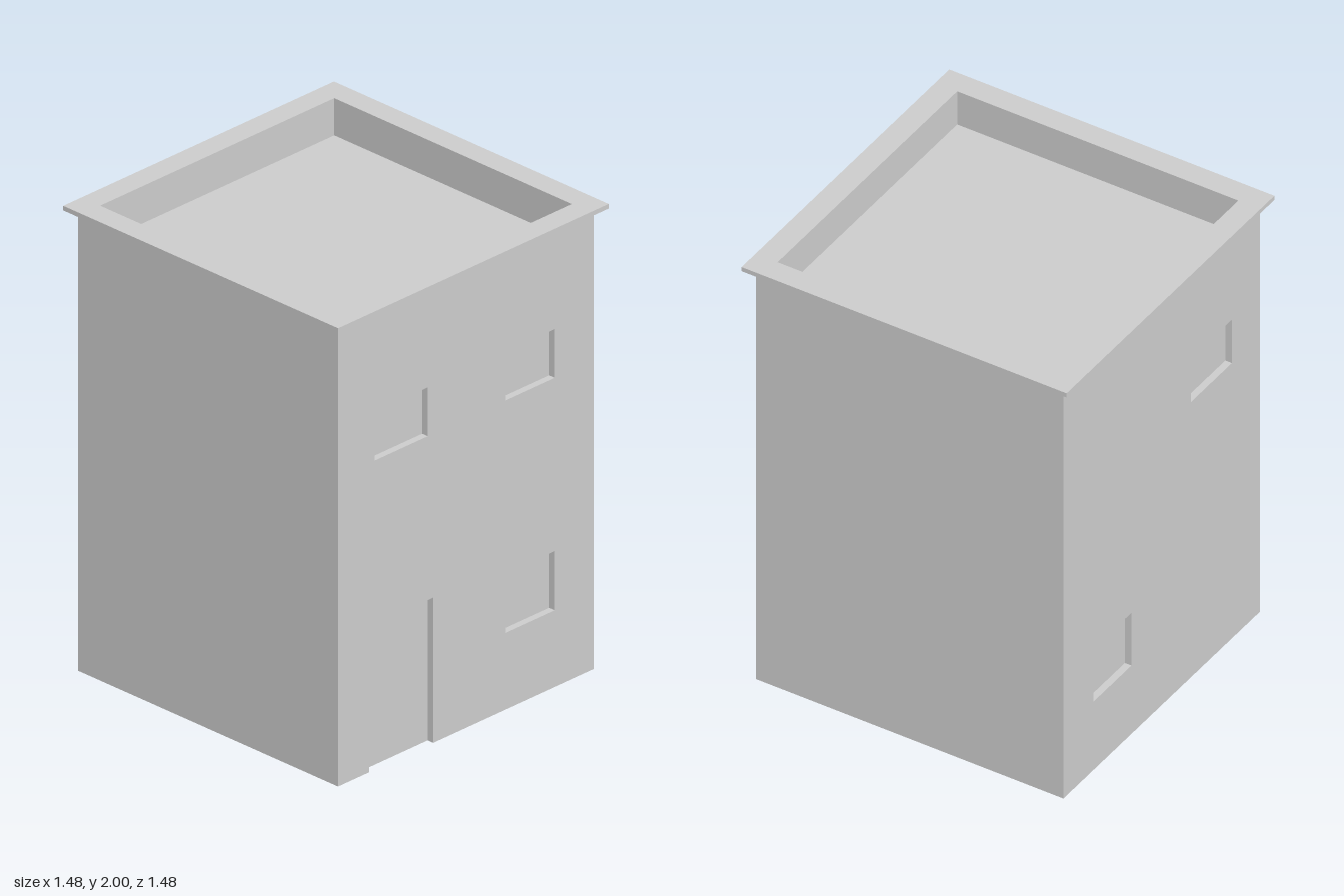
import * as THREE from 'three';

const HALF = 0.7;        // half width of the walls
const WALL_TOP = 1.98;
const REVEAL = 0.03;     // depth of door and window recesses
const RIM_IN = 0.64, RIM_OUT = 0.74, ROOF_Y = 1.84;

const material = new THREE.MeshStandardMaterial({ color: 0xcccccc, side: THREE.DoubleSide, flatShading: true });

function add(parent, name, geometry) {
  const mesh = new THREE.Mesh(geometry, material);
  mesh.name = name;
  parent.add(mesh);
  return mesh;
}

function plane(parent, name, w, h, pos, rx = 0, ry = 0) {
  const mesh = add(parent, name, new THREE.PlaneGeometry(w, h));
  mesh.position.set(...pos);
  mesh.rotation.set(rx, ry, 0);
  return mesh;
}

function rectangle(Type, x0, y0, x1, y1) {
  return new Type([[x0, y0], [x1, y0], [x1, y1], [x0, y1]].map(p => new THREE.Vector2(...p)));
}

// Recessed panel with its reveals; a door has no sill
function recess(parent, { name, u0, u1, y0, y1 }) {
  const g = new THREE.Group();
  g.name = name;
  const w = u1 - u0, h = y1 - y0, u = (u0 + u1) / 2, y = (y0 + y1) / 2, z = -REVEAL / 2;
  plane(g, 'panel', w, h, [u, y, -REVEAL]);
  plane(g, 'jamb', REVEAL, h, [u0, y, z], 0, Math.PI / 2);
  plane(g, 'jamb', REVEAL, h, [u1, y, z], 0, -Math.PI / 2);
  plane(g, 'lintel', w, REVEAL, [u, y1, z], Math.PI / 2);
  if (y0 > 0) plane(g, 'sill', w, REVEAL, [u, y0, z], -Math.PI / 2);
  parent.add(g);
}

// Wall facing local +z, cut by its openings
function wall(parent, name, angle, openings = []) {
  const g = new THREE.Group();
  g.name = name;
  const outline = [[-HALF, 0]];
  for (const o of openings.filter(o => o.y0 === 0)) {
    outline.push([o.u0, 0], [o.u0, o.y1], [o.u1, o.y1], [o.u1, 0]);
  }
  outline.push([HALF, 0], [HALF, WALL_TOP], [-HALF, WALL_TOP]);
  const shape = new THREE.Shape(outline.map(p => new THREE.Vector2(...p)));
  for (const o of openings) {
    if (o.y0 > 0) shape.holes.push(rectangle(THREE.Path, o.u0, o.y0, o.u1, o.y1));
    recess(g, o);
  }
  add(g, name + 'Surface', new THREE.ShapeGeometry(shape).translate(0, 0, HALF));
  for (const child of g.children) if (child.isGroup) child.position.z = HALF;
  g.rotation.y = angle;
  parent.add(g);
}

export function createModel() {
  const model = new THREE.Group();
  model.name = 'house';

  // Walls, open at the bottom
  const door = { name: 'door', u0: -0.53, u1: -0.18, y0: 0, y1: 0.625 };
  const upper = (u0, u1) => ({ name: 'upperWindow', u0, u1, y0: 1.33, y1: 1.54 });
  const lower = (u0, u1) => ({ name: 'lowerWindow', u0, u1, y0: 0.33, y1: 0.585 });
  wall(model, 'frontWall', 0);
  wall(model, 'backWall', Math.PI);
  wall(model, 'leftWall', Math.PI / 2,
    [door, upper(-0.5, -0.21), upper(0.215, 0.485), lower(0.215, 0.485)]);
  wall(model, 'rightWall', -Math.PI / 2, [upper(0.21, 0.5), lower(-0.485, -0.215)]);

  // Overhanging rim around the roof
  const rimShape = rectangle(THREE.Shape, -RIM_OUT, -RIM_OUT, RIM_OUT, RIM_OUT);
  rimShape.holes.push(rectangle(THREE.Path, -RIM_IN, -RIM_IN, RIM_IN, RIM_IN));
  const rim = new THREE.ExtrudeGeometry(rimShape, { depth: 2 - WALL_TOP, bevelEnabled: false });
  add(model, 'roofRim', rim.rotateX(-Math.PI / 2).translate(0, WALL_TOP, 0));

  // Sunken flat roof and the inner faces of its parapet
  plane(model, 'roofFloor', 2 * RIM_IN, 2 * RIM_IN, [0, ROOF_Y, 0], -Math.PI / 2);
  const h = WALL_TOP - ROOF_Y;
  for (let i = 0; i < 4; i++) {
    const a = i * Math.PI / 2;
    plane(model, 'parapetInside', 2 * RIM_IN, h,
      [-Math.sin(a) * RIM_IN, ROOF_Y + h / 2, -Math.cos(a) * RIM_IN], 0, a);
  }
  return model;
}
